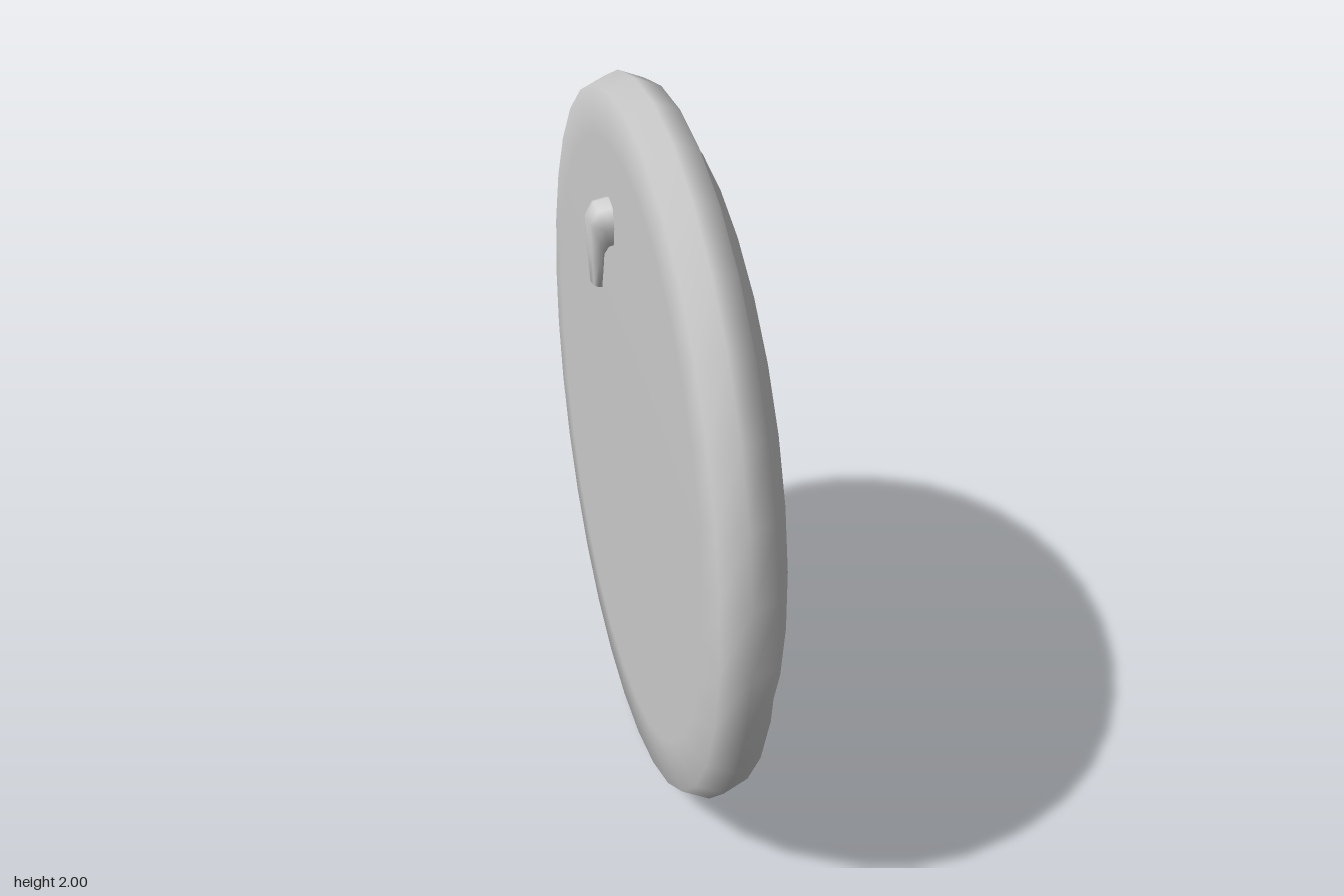
import * as THREE from 'three';

const SIDES = 32;

// Round part turned about the local y axis, profile running back to front
function turned(name, profile, material) {
  const points = profile.map(([r, h]) => new THREE.Vector2(r, h));
  const mesh = new THREE.Mesh(new THREE.LatheGeometry(points, SIDES, Math.PI / SIDES), material);
  mesh.name = name;
  return mesh;
}

// Smooth skin over octagonal sections, each given by its inner and outer edge and half width
function hookGeometry(sections, zCentre) {
  const N = 8, pos = [], index = [];
  for (const [xi, yi, xo, yo, w] of sections) {
    for (let i = 0; i < N; i++) {
      const a = (i / N) * Math.PI * 2;
      const round = v => Math.sign(v) * Math.pow(Math.abs(v), 0.7);
      const t = 0.5 + 0.5 * round(Math.cos(a));
      pos.push(xi + (xo - xi) * t, yi + (yo - yi) * t, zCentre + w * round(Math.sin(a)));
    }
  }
  for (let s = 0; s < sections.length - 1; s++) {
    for (let i = 0; i < N; i++) {
      const a = s * N + i, b = s * N + (i + 1) % N;
      index.push(a, a + N, b, b, a + N, b + N);
    }
  }
  // Close the tip
  const last = (sections.length - 1) * N;
  for (let i = 1; i < N - 1; i++) index.push(last, last + i + 1, last + i);
  const g = new THREE.BufferGeometry();
  g.setAttribute('position', new THREE.Float32BufferAttribute(pos, 3));
  g.setIndex(index);
  g.computeVertexNormals();
  return g;
}

export function createModel() {
  const model = new THREE.Group();
  model.name = 'roundWallDisc';
  const grey = new THREE.MeshStandardMaterial({ color: 0xcccccc, side: THREE.DoubleSide });

  // Disc, facing +x with a slight tilt
  const disc = new THREE.Group();
  disc.name = 'disc';
  disc.add(turned('rimAndBack', [
    [0, -0.076], [0.84, -0.076], [0.972, -0.07], [1.003, 0], [0.976, 0.07], [0.93, 0.074],
  ], grey));
  disc.add(turned('domedFace', [
    [0.94, 0.06], [0.93, 0.076], [0.85, 0.131], [0.6, 0.161], [0.36, 0.183], [0.15, 0.194], [0, 0.196],
  ], grey));
  disc.quaternion.setFromUnitVectors(
    new THREE.Vector3(0, 1, 0), new THREE.Vector3(1, 0.0175, 0.02).normalize());
  disc.position.set(-0.026, 1, 0);
  model.add(disc);

  // Hanging hook on the back, bending downward
  const hook = new THREE.Mesh(hookGeometry([
    [-0.09, 1.56, -0.09, 1.69, 0.062],
    [-0.12, 1.55, -0.153, 1.677, 0.055],
    [-0.13, 1.53, -0.177, 1.64, 0.048],
    [-0.132, 1.49, -0.171, 1.54, 0.038],
    [-0.136, 1.44, -0.165, 1.45, 0.03],
  ], -0.08), grey);
  hook.name = 'hook';
  model.add(hook);

  return model;
}
